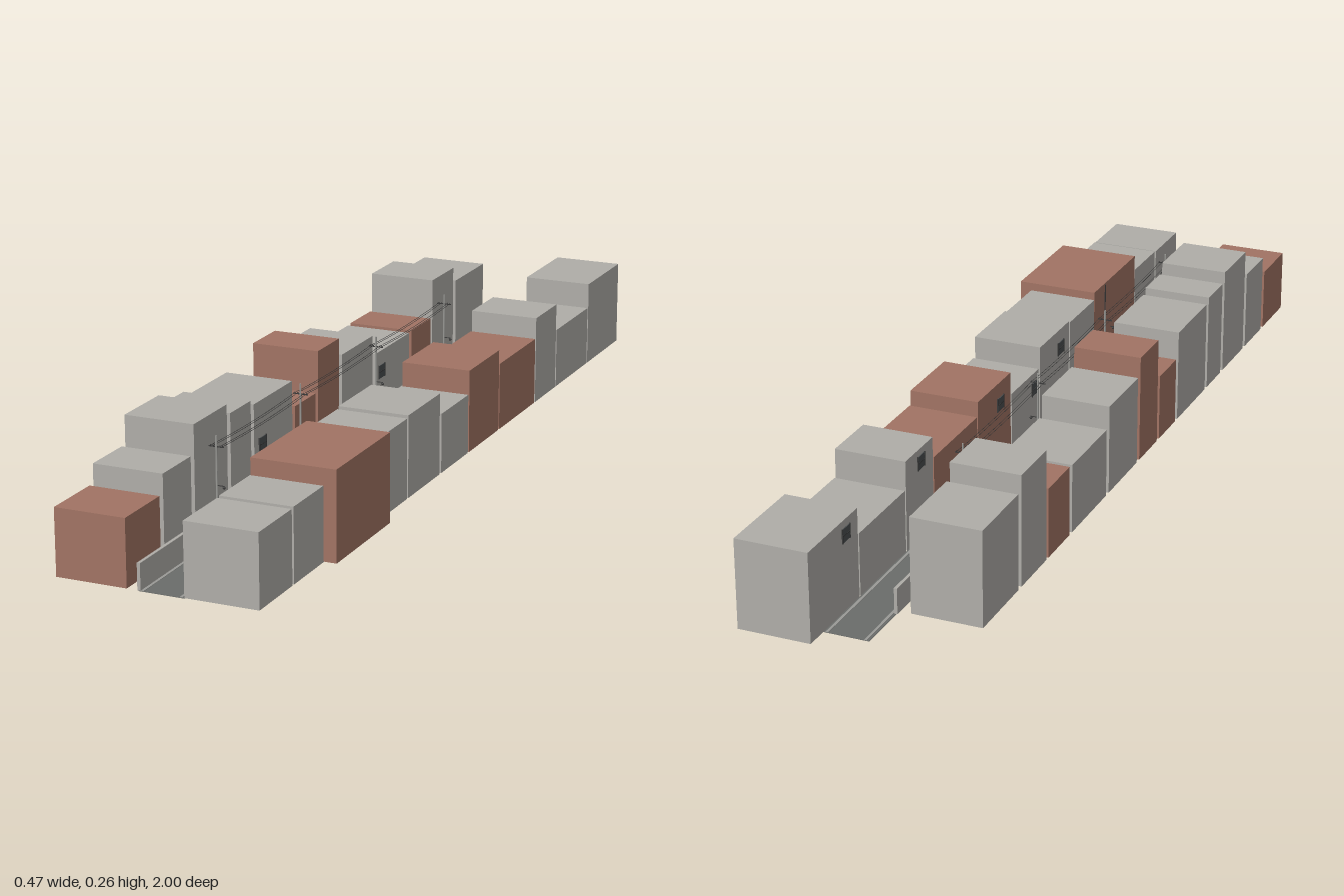
import * as THREE from 'three';

const mat = (name, color) => new THREE.MeshStandardMaterial({ name, color });

export function createModel() {
  const root = new THREE.Group();
  root.name = 'alley';
  const plaster = mat('grey plaster', 0xb0aea9);
  const brick = mat('red brown brick', 0xa27464);
  const asphalt = mat('asphalt', 0x6b6d6b);
  const concrete = mat('concrete', 0x9b9b97);
  const metal = mat('dark metal', 0x3a3a3a);
  const leaf = mat('dark leaf', 0x3f4a3a);
  const glass = mat('dark glass', 0x4a4e50);
  const lid = mat('pale lid', 0xc4c4c0);

  const G = 0.014; // street level
  const add = (name, geo, material, x, y, z, parent = root) => {
    const m = new THREE.Mesh(geo, material);
    m.name = name;
    m.position.set(x, y, z);
    parent.add(m);
    return m;
  };
  // box given by its limits
  const block = (name, material, x0, x1, y0, y1, z0, z1, parent = root) =>
    add(name, new THREE.BoxGeometry(x1 - x0, y1 - y0, z1 - z0), material,
      (x0 + x1) / 2, (y0 + y1) / 2, (z0 + z1) / 2, parent);

  // Buildings: [z start, z end, top, is brick, outer x]
  const rightRow = [
    [-1, -0.788, 0.21], [-0.783, -0.573, 0.152], [-0.568, -0.437, 0.215],
    [-0.432, -0.213, 0.167, 1], [-0.208, -0.034, 0.2, 1], [-0.028, 0.122, 0.147],
    [0.132, 0.3, 0.195], [0.306, 0.454, 0.19], [0.455, 0.714, 0.208, 1, 0.232],
    [0.716, 0.85, 0.172], [0.858, 1, 0.17],
  ];
  const leftRow = [
    [-0.812, -0.638, 0.225], [-0.622, -0.495, 0.26], [-0.484, -0.372, 0.17, 1],
    [-0.358, -0.167, 0.168], [-0.152, 0.014, 0.215], [0.029, 0.137, 0.256, 1],
    [0.15, 0.252, 0.165, 1], [0.266, 0.448, 0.225], [0.462, 0.555, 0.237],
    [0.57, 0.714, 0.26], [0.729, 0.846, 0.198], [0.861, 1, 0.157, 1],
  ];
  for (const [z0, z1, top, red, outer = 0.205] of rightRow)
    block('leftSideBuilding', red ? brick : plaster, 0.046, outer, G, top, z0, z1);
  for (const [z0, z1, top, red] of leftRow)
    block('rightSideBuilding', red ? brick : plaster, -0.233, -0.078, G, top, z0, z1);

  // Windows facing the lane, with a mid bar
  const windowAt = (x, y, z, side) => {
    const g = new THREE.Group();
    g.name = 'window';
    g.position.set(x, y, z);
    root.add(g);
    block('pane', glass, -0.001, 0.001, -0.015, 0.015, -0.016, 0.016, g);
    for (const s of [-1, 1])
      block('frameBar', metal, -0.0015, 0.0015, -0.016, 0.016, s * 0.016 - 0.001, s * 0.016 + 0.001, g);
    block('midBar', metal, -0.0015, 0.0015, -0.001, 0.001, -0.016, 0.016, g);
    g.position.x += side * 0.001;
  };
  for (const [y, z] of [[0.178, -0.84], [0.185, -0.495], [0.15, -0.09], [0.11, 0.1], [0.15, 0.25]])
    windowAt(0.046, y, z, -1);
  for (const [y, z] of [[0.12, -0.2], [0.13, 0.41]]) windowAt(-0.078, y, z, 1);

  // Lane, gutters and low wall
  block('lane', asphalt, -0.052, 0.046, G - 0.0012, G, -0.945, 1);
  block('gutter', concrete, -0.047, -0.041, G, G + 0.001, -0.945, 1);
  block('gutter', concrete, 0.036, 0.042, G, G + 0.001, -0.945, 1);
  block('lowWall', plaster, -0.055, -0.048, G, 0.07, -0.825, 1);
  block('drainLid', lid, -0.018, -0.002, G, G + 0.0012, 0.47, 0.486);

  // Utility poles with crossarm, meter box and lamp
  const poleZ = [0.69, 0.303, -0.087, -0.478];
  const wireX = [-0.054, -0.048, -0.033, -0.027];
  const px = -0.041;
  for (const z of poleZ) {
    const pole = new THREE.Group();
    pole.name = 'utilityPole';
    pole.position.set(px, 0, z);
    root.add(pole);
    const shaft = new THREE.CylinderGeometry(0.002, 0.0027, 0.22, 10);
    add('shaft', shaft, concrete, 0, G + 0.11, 0, pole);
    add('sleeve', new THREE.CylinderGeometry(0.0031, 0.0031, 0.076, 10), concrete, 0, G + 0.038, 0, pole);
    block('crossarm', metal, -0.017, 0.017, 0.2105, 0.2125, -0.001, 0.001, pole);
    block('lampArm', metal, 0, 0.017, 0.1295, 0.131, -0.0008, 0.0008, pole);
    add('lamp', new THREE.SphereGeometry(0.003, 10, 8), metal, 0.016, 0.127, 0, pole);
    for (const x of wireX)
      add('insulator', new THREE.CylinderGeometry(0.0008, 0.0008, 0.003, 6), metal, x - px, 0.2135, 0, pole);
  }

  // Sagging wires between poles
  for (let i = 0; i < 3; i++)
    for (const x of wireX) {
      const a = poleZ[i], b = poleZ[i + 1];
      const curve = new THREE.QuadraticBezierCurve3(
        new THREE.Vector3(x, 0.213, a), new THREE.Vector3(x, 0.203, (a + b) / 2), new THREE.Vector3(x, 0.213, b));
      add('wire', new THREE.TubeGeometry(curve, 12, 0.0005, 5), metal, 0, 0, 0);
    }

  // Drainpipe and wall lamp on the brick front
  block('drainpipe', metal, 0.0435, 0.0455, 0, 0.205, 0.519, 0.521);
  block('wallLampArm', metal, 0.026, 0.046, 0.0835, 0.0855, 0.559, 0.561);
  add('wallLamp', new THREE.SphereGeometry(0.0028, 10, 8), metal, 0.04, 0.081, 0.56);

  // Potted plants along both walls
  const pots = [[0.039, 0.515], [0.037, 0.568], [0.039, 0.58], [0.036, 0.635], [0.04, 0.645],
    [-0.044, 0.375], [-0.044, 0.505], [-0.044, 0.635]];
  for (const [x, z] of pots) {
    const plant = new THREE.Group();
    plant.name = 'pottedPlant';
    plant.position.set(x, G, z);
    root.add(plant);
    add('pot', new THREE.CylinderGeometry(0.004, 0.003, 0.008, 10), brick, 0, 0.004, 0, plant);
    add('leaves', new THREE.IcosahedronGeometry(0.0055, 1), leaf, 0, 0.0125, 0, plant);
  }
  return root;
}
